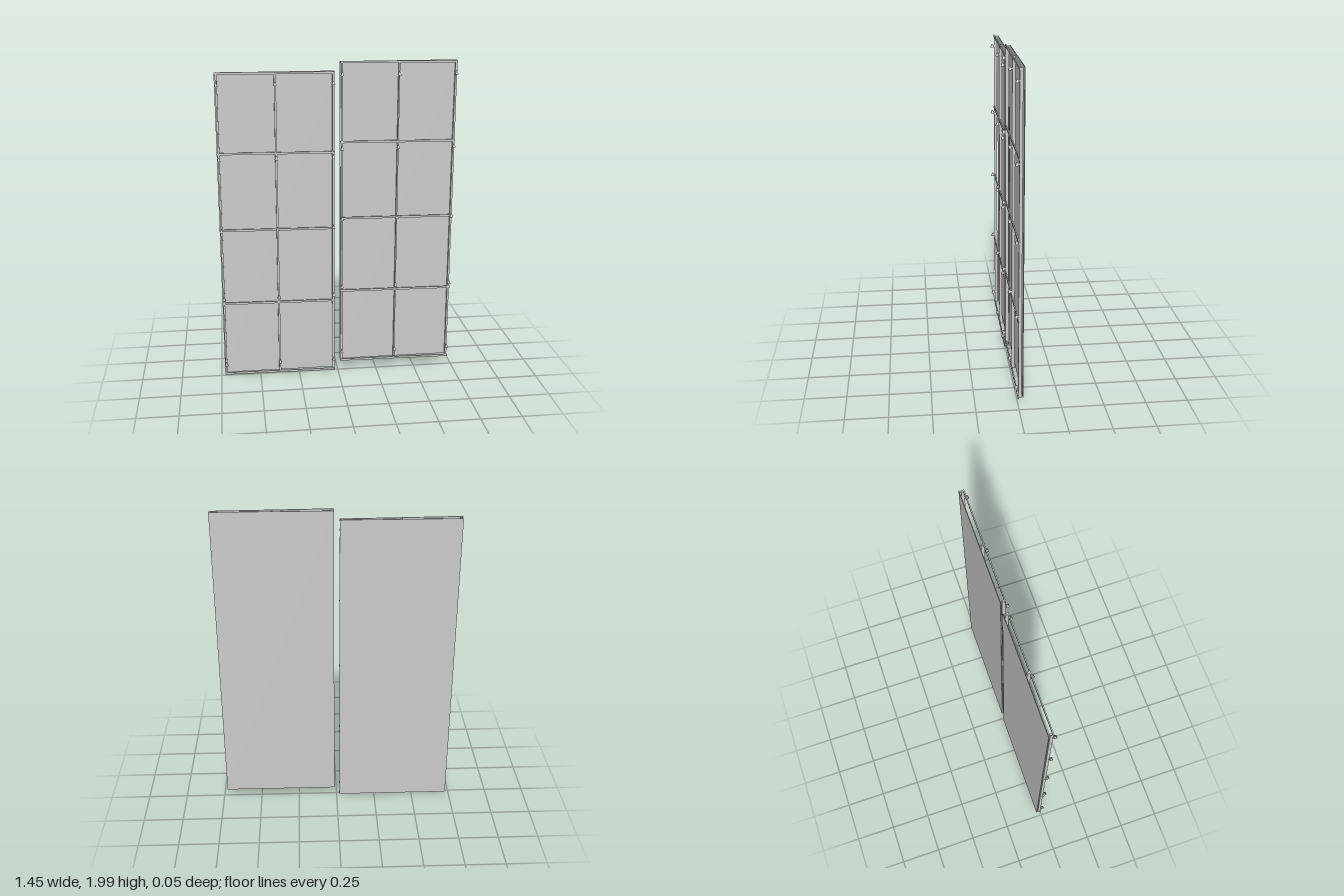
import * as THREE from 'three';

const grey = new THREE.MeshStandardMaterial({ color: 0xcccccc, flatShading: true, side: THREE.DoubleSide });

function add(parent, name, geometry, x, y, z) {
  const mesh = new THREE.Mesh(geometry, grey);
  mesh.name = name;
  mesh.position.set(x, y, z);
  parent.add(mesh);
  return mesh;
}

const WIDTH = 0.71, HEIGHT = 1.94, ROWS = 4;

// One tall panel: back sheet, frame grid and rows of small clips; origin at bottom centre
function createPanel(name, middlePost, clipStart) {
  const panel = new THREE.Group();
  panel.name = name;

  add(panel, 'backSheet', new THREE.BoxGeometry(WIDTH, HEIGHT - 0.015, 0.004), 0, HEIGHT / 2 + 0.003, -0.025);

  // Thin flat cross bars, very slightly out of level
  const pitch = (HEIGHT - 0.02) / ROWS;
  for (let i = 0; i <= ROWS; i++) {
    const bar = add(panel, 'crossBar', new THREE.BoxGeometry(WIDTH, 0.013, 0.007), 0, 0.01 + i * pitch, 0.001);
    bar.rotation.z = -0.009;
  }

  const columns = [-WIDTH / 2 + 0.011, 0, WIDTH / 2 - 0.009];
  columns.forEach((x, c) => {
    // Deeper upright posts behind the bars
    const thickness = c === 1 ? middlePost : 0.011;
    const post = add(panel, 'post', new THREE.BoxGeometry(thickness, HEIGHT - 0.012, 0.018), x, HEIGHT / 2, -0.007);
    post.rotation.z = -0.001;

    // Faceted clips standing proud of the posts on short stems
    for (let i = 0; i < 5; i++) {
      const y = clipStart + i * 0.446;
      add(panel, 'clipStem', new THREE.BoxGeometry(0.006, 0.008, 0.016), x, y, 0.008);
      const clip = add(panel, 'clip', new THREE.CylinderGeometry(0.004, 0.014, 0.022, 4), x, y, 0.015);
      clip.rotation.y = Math.PI / 4;
    }
  });
  return panel;
}

export function createModel() {
  const model = new THREE.Group();
  model.name = 'panelPair';

  const rightPanel = createPanel('rightPanel', 0.012, 0.085);
  rightPanel.position.set(-0.373, 0, 0);

  const leftPanel = createPanel('leftPanel', 0.008, 0.08);
  leftPanel.position.set(0.37, 0.055, 0);

  model.add(rightPanel, leftPanel);
  return model;
}
